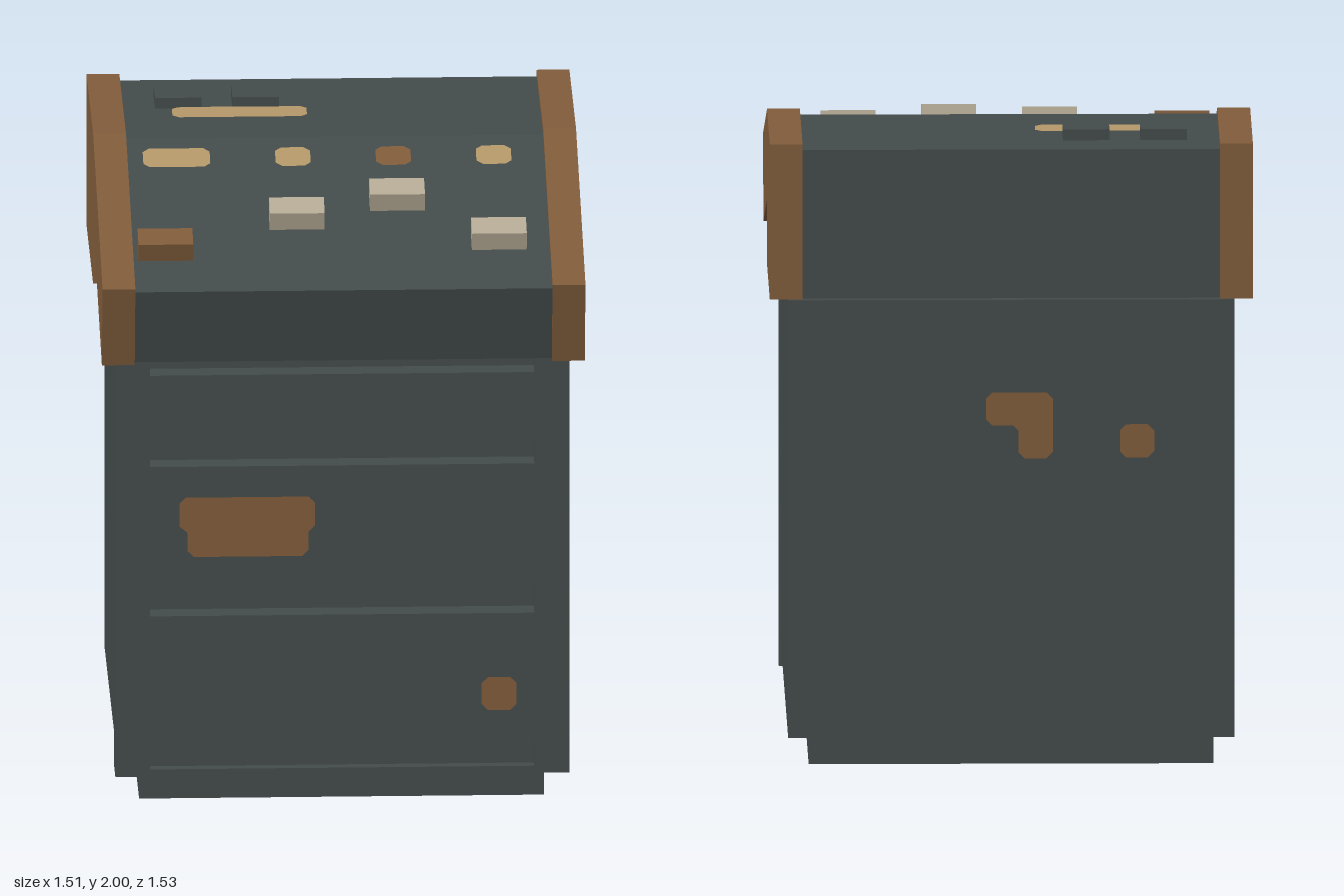
import * as THREE from 'three';

const SLOPE = Math.PI / 12;

export function createModel() {
  const root = new THREE.Group();
  const material = (name, color) => {
    const m = new THREE.MeshStandardMaterial({ color });
    m.name = name;
    return m;
  };
  const slate = material('slate metal', 0x434a4a);
  const wood = material('brown', 0x805c3a);
  const tan = material('tan', 0xb39768);
  const cream = material('cream', 0xb5aa95);

  const add = (name, geometry, mat) => {
    const mesh = new THREE.Mesh(geometry, mat);
    mesh.name = name;
    root.add(mesh);
    return mesh;
  };
  // Box given by its limits on each axis
  const box = (name, mat, x0, x1, y0, y1, z0, z1) => {
    const mesh = add(name, new THREE.BoxGeometry(x1 - x0, y1 - y0, z1 - z0), mat);
    mesh.position.set((x0 + x1) / 2, (y0 + y1) / 2, (z0 + z1) / 2);
    return mesh;
  };
  const shapeOf = (pts) => new THREE.Shape(pts.map(([x, y]) => new THREE.Vector2(x, y)));
  // Side profile in (z, y), extruded across x
  const profile = (name, mat, pts, width, x) => {
    const g = new THREE.ExtrudeGeometry(shapeOf(pts), { depth: width, bevelEnabled: false });
    g.translate(0, 0, -width / 2).rotateY(-Math.PI / 2);
    add(name, g, mat).position.x = x;
  };
  // Flat rectangle with clipped corners
  const clipped = (w, h, c = 0.02) => {
    const a = w / 2, b = h / 2;
    return new THREE.ShapeGeometry(shapeOf([
      [-a + c, -b], [a - c, -b], [a, -b + c], [a, b - c],
      [a - c, b], [-a + c, b], [-a, b - c], [-a, -b + c],
    ]));
  };

  // Cabinet
  box('plinth', slate, -0.635, 0.635, 0, 0.095, -0.7, 0.525);
  box('cabinetBody', slate, -0.7, 0.7, 0.095, 1.49, -0.762, 0.49);
  for (const s of [-1, 1]) {
    const mesh = box('frontStile', slate, -0.054, 0.054, 0.095, 1.49, 0.488, 0.6);
    mesh.position.x = s * 0.658;
  }
  for (const [y0, y1] of [[0.185, 0.61], [0.69, 1.1], [1.165, 1.4]]) {
    box('frontPanel', slate, -0.604, 0.604, y0, y1, 0.48, 0.565);
  }
  box('consoleSupport', slate, -0.65, 0.65, 1.48, 1.7, -0.13, 0.07);

  // Sloping console between two wooden cheeks
  profile('consoleDeck', slate, [
    [-0.74, 1.491], [-0.125, 1.491], [-0.125, 1.697], [0.68, 1.481],
    [0.747, 1.731], [-0.125, 1.965], [-0.74, 1.965],
  ], 1.31, 0);
  for (const s of [-1, 1]) {
    profile('sideCheek', wood, [
      [-0.748, 1.49], [-0.125, 1.49], [-0.125, 1.695], [0.694, 1.476],
      [0.762, 1.746], [-0.125, 1.984], [-0.748, 1.984],
    ], 0.103, s * 0.706);
  }

  // Height of the sloping deck at depth z
  const deckY = (z) => 1.965 - Math.tan(SLOPE) * (z + 0.125);

  // Raised buttons on the slope
  for (const [x, z, mat] of [
    [-0.553, 0.532, wood], [-0.135, 0.362, cream], [0.183, 0.26, cream], [0.495, 0.487, cream],
  ]) {
    const h = 0.06;
    const button = add('button', new THREE.BoxGeometry(0.172, h, 0.096), mat);
    const foot = z - Math.sin(SLOPE) * h / 2;
    button.position.set(x, deckY(foot) + Math.cos(SLOPE) * h / 2, z);
    button.rotation.x = SLOPE;
  }

  // Row of flat markers on the slope
  for (const [x, w, mat] of [
    [-0.5, 0.21, tan], [-0.135, 0.11, tan], [0.18, 0.11, wood], [0.495, 0.11, tan],
  ]) {
    const marker = add('slopeMarker', clipped(w, 0.109), mat);
    marker.position.set(x, deckY(-0.008) + 0.004, -0.007);
    marker.rotation.x = SLOPE - Math.PI / 2;
  }

  // Flat strip and two low pads at the back of the top
  const strip = add('topStrip', clipped(0.422, 0.108), tan);
  strip.position.set(-0.29, 1.969, -0.386);
  strip.rotation.x = -Math.PI / 2;
  for (const x of [-0.48, -0.237]) {
    box('topPad', slate, x - 0.073, x + 0.073, 1.96, 2, -0.583, -0.438);
  }

  // Patches on the front panels
  const frontPatch = new THREE.ShapeGeometry(shapeOf([
    [-0.465, 0.805], [-0.125, 0.805], [-0.105, 0.825], [-0.105, 0.885], [-0.085, 0.905],
    [-0.085, 0.98], [-0.105, 1], [-0.49, 1], [-0.51, 0.98], [-0.51, 0.905],
    [-0.485, 0.885], [-0.485, 0.825],
  ]));
  add('frontPatch', frontPatch, wood).position.z = 0.569;
  add('smallFrontPatch', clipped(0.11, 0.108), wood).position.set(0.493, 0.347, 0.569);

  // Patches on the back, drawn as seen from behind (x mirrored)
  const backPatch = new THREE.ShapeGeometry(shapeOf([
    [-0.06, 1.09], [0.005, 1.09], [0.022, 1.073], [0.022, 1.005], [0.042, 0.985],
    [0.11, 0.985], [0.13, 1.005], [0.13, 1.175], [0.11, 1.195], [-0.06, 1.195],
    [-0.08, 1.175], [-0.08, 1.11],
  ]));
  const back = add('backPatch', backPatch, wood);
  back.position.z = -0.766;
  back.rotation.y = Math.PI;
  const smallBack = add('smallBackPatch', clipped(0.108, 0.106), wood);
  smallBack.position.set(-0.394, 1.04, -0.766);
  smallBack.rotation.y = Math.PI;

  return root;
}
